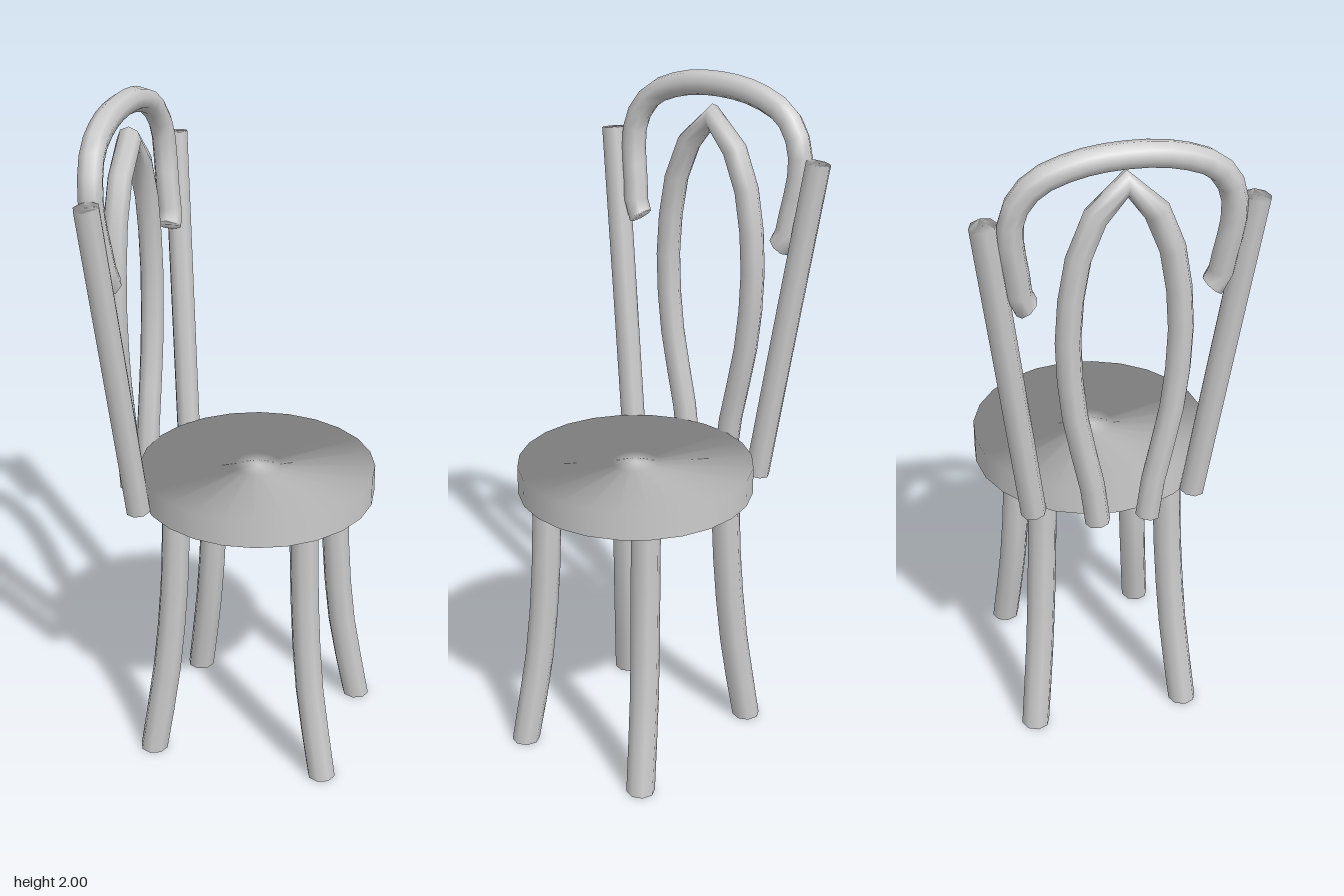
import * as THREE from 'three';

const material = new THREE.MeshStandardMaterial({ color: 0xcccccc });
const SIDES = 8;

function addMesh(parent, name, geometry) {
  const mesh = new THREE.Mesh(geometry, material);
  mesh.name = name;
  parent.add(mesh);
}

// Bent wooden rod through the given points; the caps share the smooth normals of the end rings
function rod(points, radius, segments, flatFoot = false) {
  const curve = new THREE.CatmullRomCurve3(points.map((p) => new THREE.Vector3(...p)));
  const geometry = new THREE.TubeGeometry(curve, segments, radius, SIDES);
  const index = Array.from(geometry.index.array);
  const last = segments * (SIDES + 1);
  for (let j = 1; j < SIDES - 1; j++) {
    index.push(0, j, j + 1);
    index.push(last, last + j + 1, last + j);
  }
  geometry.setIndex(index);
  if (flatFoot) {
    for (let j = 0; j <= SIDES; j++) geometry.attributes.position.setY(j, 0);
  }
  return geometry;
}

// Round disc shaded smoothly over its rim: normals point outwards, and straight up or down at the axis
function softDisc(radius, height, core) {
  const h = height / 2;
  const profile = [[0, -h], [core, -h], [radius, -h], [radius, h], [core, h], [0, h]];
  const geometry = new THREE.LatheGeometry(profile.map((p) => new THREE.Vector2(...p)), 24);
  const { position, normal } = geometry.attributes;
  const n = new THREE.Vector3();
  for (let i = 0; i < position.count; i++) {
    n.fromBufferAttribute(position, i);
    if (Math.hypot(n.x, n.z) > core / 2) n.y = 0;
    n.normalize();
    normal.setXYZ(i, n.x, n.y, n.z);
  }
  return geometry;
}

// Mirror a half path (ending on z = 0) into a full arch
function arch(half) {
  const other = half.slice(0, -1).reverse().map(([x, y, z]) => [x, y, -z]);
  return [...half, ...other];
}

export function createModel() {
  const chair = new THREE.Group();
  chair.name = 'chair';

  // Round seat
  addMesh(chair, 'seat', softDisc(0.349, 0.083, 0.07).translate(0.043, 0.874, 0.002));

  for (const [side, s] of [['Left', -1], ['Right', 1]]) {
    // Splayed legs
    addMesh(chair, 'frontLeg' + side, rod([
      [0.315, 0, s * 0.226], [0.265, 0.3, s * 0.202],
      [0.242, 0.6, s * 0.188], [0.235, 0.87, s * 0.184],
    ], 0.043, 6, true));
    addMesh(chair, 'backLeg' + side, rod([
      [-0.22, 0, s * 0.238], [-0.18, 0.3, s * 0.21],
      [-0.157, 0.6, s * 0.194], [-0.15, 0.87, s * 0.187],
    ], 0.043, 6, true));

    // Straight back posts leaning outwards
    addMesh(chair, 'backPost' + side, rod([
      [-0.25, 0.836, s * 0.235], [-0.285, 1.316, s * 0.298], [-0.32, 1.795, s * 0.362],
    ], 0.037, 2));
  }

  // Pointed inner loop of the backrest
  addMesh(chair, 'backLoop', rod(arch([
    [-0.328, 0.83, 0.073], [-0.328, 0.95, 0.088], [-0.328, 1.2, 0.138],
    [-0.328, 1.46, 0.154], [-0.328, 1.7, 0.119], [-0.328, 1.82, 0.06], [-0.328, 1.875, 0],
  ]), 0.036, 18).translate(0, 0, 0.007));

  // Curved top rail hooking down inside the posts, its ends turned inwards
  addMesh(chair, 'topRail', rod(arch([
    [-0.306, 1.54, 0.252], [-0.308, 1.557, 0.266], [-0.32, 1.65, 0.281], [-0.33, 1.745, 0.295],
    [-0.336, 1.83, 0.287], [-0.346, 1.905, 0.235], [-0.353, 1.95, 0.13], [-0.355, 1.964, 0],
  ]), 0.036, 24));

  return chair;
}
